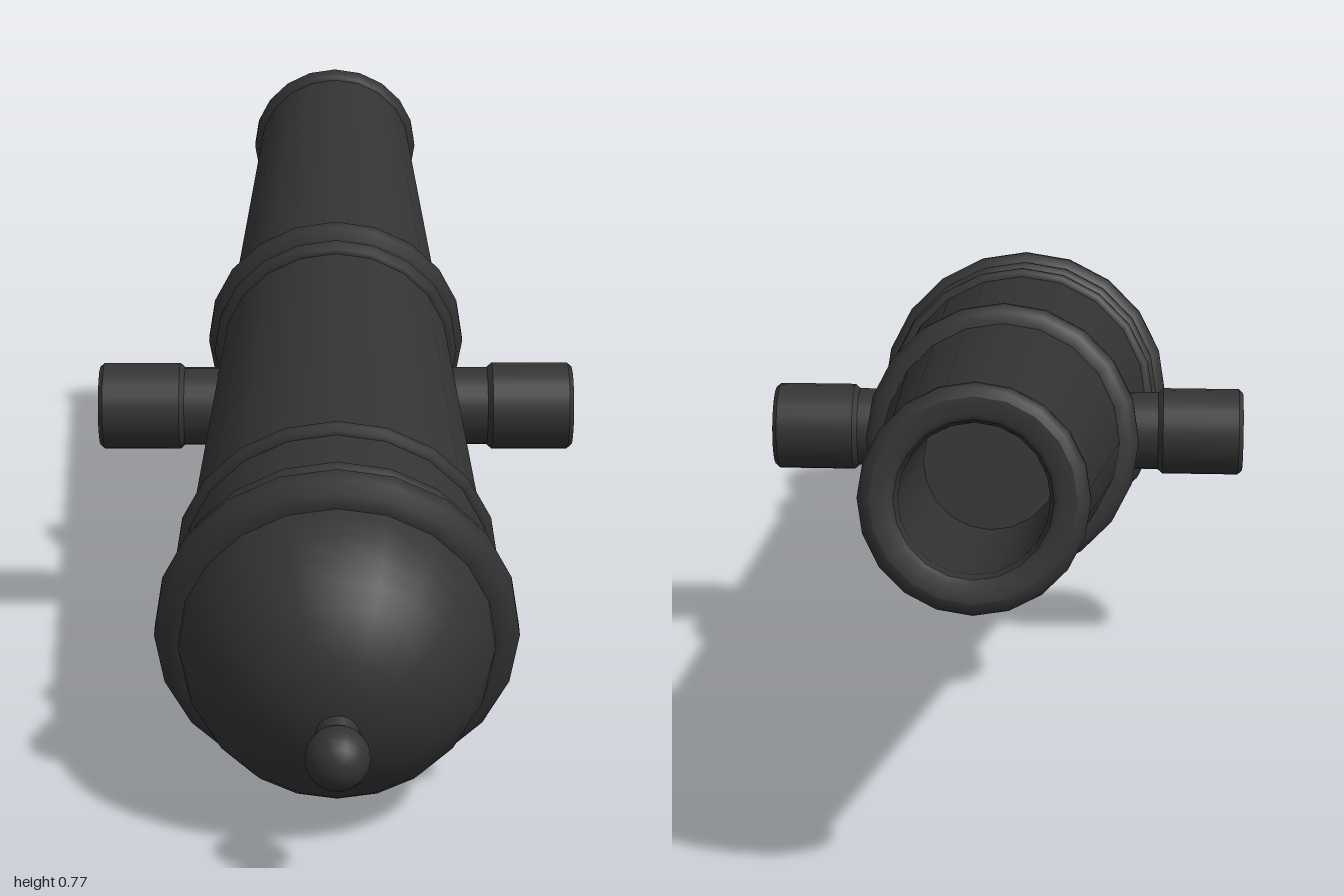
import * as THREE from 'three';

const iron = new THREE.MeshStandardMaterial({ color: 0x333333 });

// Turned part around local +y; profile is [radius, height], a repeated point makes a sharp edge.
function turned(name, profile, segments = 20) {
  const points = profile.map(([r, h]) => new THREE.Vector2(r, h));
  const mesh = new THREE.Mesh(new THREE.LatheGeometry(points, segments), iron);
  mesh.name = name;
  return mesh;
}

// Rounded band between heights a and b, rising from the barrel radius to the band radius.
function band(name, a, b, inner, outer) {
  const w = b - a;
  const d = outer - inner;
  return turned(name, [
    [inner - 0.015, a], [inner, a], [inner + d * 0.6, a + w * 0.06], [outer, a + w * 0.3],
    [outer, a + w * 0.7], [inner + d * 0.6, b - w * 0.06], [inner, b], [inner - 0.015, b],
  ]);
}

export function createModel() {
  const model = new THREE.Group();
  model.name = 'cannonBarrel';

  // Everything on the bore axis is built upright from the knob, then tilted
  const tube = new THREE.Group();
  tube.name = 'tube';
  tube.position.set(0, 0.195, 0.955);
  tube.rotation.x = -Math.PI / 2 + 0.222;
  model.add(tube);

  // Rear knob and its short neck
  const knob = new THREE.Mesh(new THREE.SphereGeometry(0.045, 20, 14), iron);
  knob.name = 'knob';
  tube.add(knob);
  tube.add(turned('knobNeck', [[0.026, 0.025], [0.024, 0.045], [0.034, 0.06], [0.06, 0.068]]));

  // Domed breech
  const dome = [];
  for (let i = 0; i <= 10; i++) {
    const t = (i / 10) * Math.PI / 2;
    dome.push([0.228 * Math.sin(t), 0.29 - 0.238 * Math.cos(t)]);
  }
  tube.add(turned('breechDome', dome));

  // Tapering barrel with a hollow bore
  tube.add(turned('barrel', [
    [0.228, 0.28], [0.228, 0.48], [0.225, 0.50], [0.187, 1.16], [0.184, 1.2], [0.141, 1.945],
  ]));
  tube.add(turned('muzzleLip', [
    [0.138, 1.932], [0.147, 1.935], [0.153, 1.943], [0.153, 1.958], [0.146, 1.969],
    [0.136, 1.972], [0.136, 1.972], [0.112, 1.972], [0.105, 1.965],
  ]));
  tube.add(turned('bore', [[0.105, 1.965], [0.1, 1.95], [0.1, 1.5], [0.1, 1.5], [0, 1.5]]));

  // Reinforcing bands
  tube.add(band('breechBand', 0.27, 0.338, 0.228, 0.262));
  tube.add(band('breechFillet', 0.338, 0.375, 0.226, 0.246));
  tube.add(band('rearBand', 0.468, 0.496, 0.226, 0.24));
  tube.add(band('middleFillet', 1.118, 1.15, 0.188, 0.203));
  tube.add(band('middleBand', 1.15, 1.202, 0.185, 0.214));

  // Side trunnions with a thinner root
  for (const side of [1, -1]) {
    const trunnion = turned(side > 0 ? 'leftTrunnion' : 'rightTrunnion', [
      [0.063, 0.12], [0.063, 0.245], [0.063, 0.245], [0.07, 0.253], [0.07, 0.253],
      [0.07, 0.376], [0.07, 0.376], [0.064, 0.383], [0.064, 0.383], [0, 0.383],
    ], 24);
    trunnion.position.set(0, 0.401, 0.024);
    trunnion.rotation.z = -side * Math.PI / 2;
    model.add(trunnion);
  }

  return model;
}
